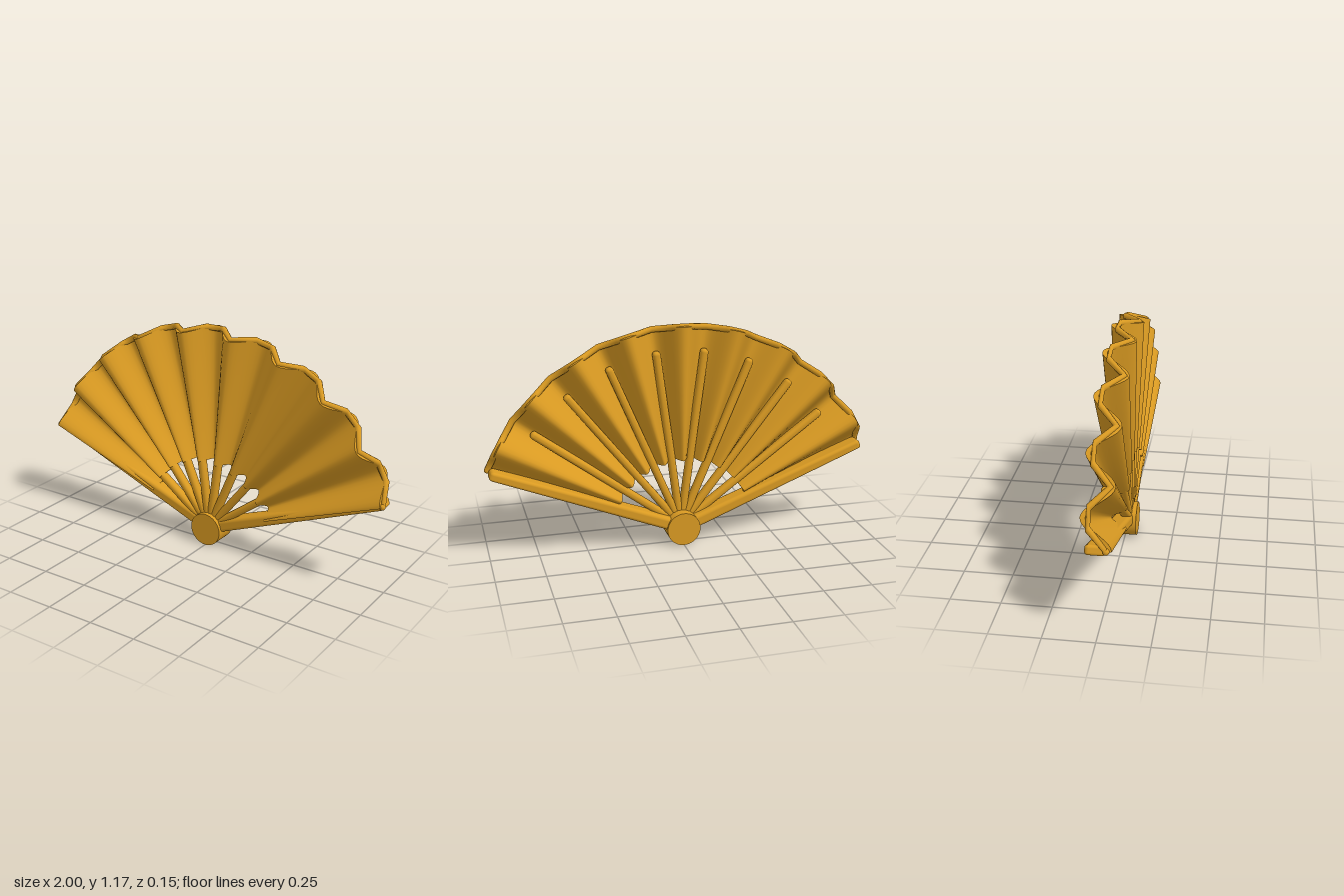
import * as THREE from 'three';
import { mergeGeometries } from 'three/addons/utils/BufferGeometryUtils.js';
import { RoundedBoxGeometry } from 'three/addons/geometries/RoundedBoxGeometry.js';
import { ParametricGeometry } from 'three/addons/geometries/ParametricGeometry.js';

const PIVOT = 0.088;                       // height of the hub centre
const PLEATS = 9;
const START = THREE.MathUtils.degToRad(21.2);
const SWEEP = Math.PI - 2 * START;
const INNER = 0.373, THICK = 0.024;

const wave = (v) => Math.cos(v * PLEATS * Math.PI * 2);
const outerRadius = (v) => 1.066 - 0.009 * wave(v);

// Point on the leaf: u runs from inner to outer edge, v along the sweep, w through the thickness
function leafPoint(u, v, w, target) {
  const a = START + v * SWEEP;
  const r = THREE.MathUtils.lerp(INNER, outerRadius(v), u);
  const z = THREE.MathUtils.lerp(0.039, 0.061, u) * wave(v) + (w - 0.5) * THICK;
  return target.set(r * Math.cos(a), r * Math.sin(a), z);
}

// Pleated leaf as a closed sheet: two faces, two curved edges, two straight ends
function leafGeometry() {
  const n = PLEATS * 16;
  const patch = (f, s, t) => new ParametricGeometry((p, q, target) => f(p, q, target), s, t);
  return mergeGeometries([
    patch((p, q, t) => leafPoint(p, q, 1, t), 8, n),
    patch((p, q, t) => leafPoint(q, p, 0, t), n, 8),
    patch((p, q, t) => leafPoint(1, p, q, t), n, 1),
    patch((p, q, t) => leafPoint(0, q, p, t), 1, n),
    patch((p, q, t) => leafPoint(p, 0, q, t), 8, 1),
    patch((p, q, t) => leafPoint(q, 1, p, t), 1, 8),
  ]);
}

// Cord following the outer edge, sampled coarsely so that it zigzags
class TrimCurve extends THREE.Curve {
  getPoint(v, target = new THREE.Vector3()) {
    const a = START + v * SWEEP, r = outerRadius(v);
    return target.set(r * Math.cos(a), r * Math.sin(a), -0.008 + 0.056 * wave(v));
  }
  getUtoTmapping(u) { return u; }
}

// Rounded stick from the pivot outwards along x, tapering in width
function stickGeometry(length, width, depth, radius, taper) {
  const g = new RoundedBoxGeometry(length, width, depth, 4, radius);
  g.translate(length / 2, 0, 0);
  const p = g.attributes.position;
  for (let i = 0; i < p.count; i++) {
    const t = THREE.MathUtils.clamp(p.getX(i) / length, 0, 1);
    p.setY(i, p.getY(i) * THREE.MathUtils.lerp(1, taper, t));
  }
  return g;
}

export function createModel() {
  const model = new THREE.Group();
  model.name = 'foldingFan';
  const fan = new THREE.Group();
  fan.name = 'fan';
  fan.position.y = PIVOT;
  model.add(fan);

  const gold = new THREE.MeshStandardMaterial({ color: 0xd99a22 });
  gold.name = 'gold';

  const add = (name, geometry) => {
    const mesh = new THREE.Mesh(geometry, gold);
    mesh.name = name;
    fan.add(mesh);
    return mesh;
  };

  // Hub
  add('hub', new THREE.CylinderGeometry(PIVOT, PIVOT, 0.125, 48)).rotation.x = Math.PI / 2;

  // Pleated leaf and its cord
  add('leaf', leafGeometry());
  const curve = new TrimCurve();
  add('trim', new THREE.TubeGeometry(curve, PLEATS * 3, 0.016, 10, false));
  for (const v of [0, 1]) {
    add('trimEnd', new THREE.SphereGeometry(0.016, 12, 8)).position.copy(curve.getPoint(v));
  }

  // Outer guards and inner ribs
  const guard = stickGeometry(1.052, 0.068, 0.096, 0.02, 0.68);
  const rib = stickGeometry(0.95, 0.04, 0.05, 0.018, 1);
  for (let i = 0; i <= PLEATS; i++) {
    const outer = i === 0 || i === PLEATS;
    const mesh = add(outer ? 'guard' : 'rib', outer ? guard : rib);
    mesh.rotation.z = START + (SWEEP * i) / PLEATS;
    mesh.position.z = outer ? -0.003 : 0.015;
  }
  return model;
}
